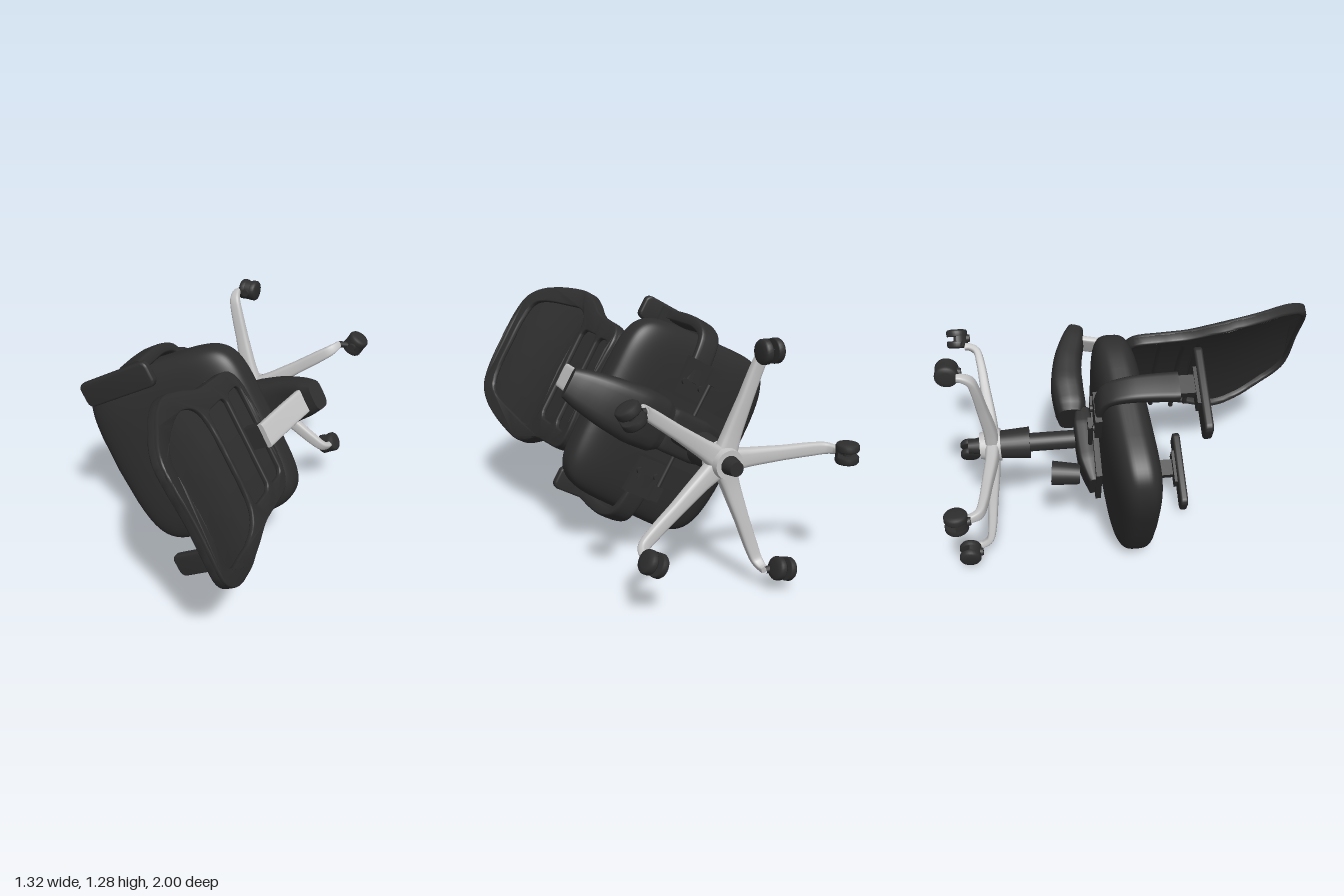
import * as THREE from 'three';
import { mergeVertices, toCreasedNormals } from 'three/addons/utils/BufferGeometryUtils.js';

const black = new THREE.MeshStandardMaterial({ color: 0x2e2e2e });
black.name = 'black plastic and fabric';
const blackSheet = black.clone();
blackSheet.side = THREE.DoubleSide;
const silver = new THREE.MeshStandardMaterial({ color: 0xc4c4c4 });
silver.name = 'silver metal';

function add(parent, name, geometry, material, x = 0, y = 0, z = 0) {
  const mesh = new THREE.Mesh(geometry, material);
  mesh.name = name;
  mesh.position.set(x, y, z);
  parent.add(mesh);
  return mesh;
}
const spow = (v, e) => Math.sign(v) * Math.abs(v) ** e;

function interp(table, t) {
  for (let i = 1; i < table.length; i++) {
    const [a, va] = table[i - 1], [b, vb] = table[i];
    if (t <= b) return va + (vb - va) * Math.max(0, (t - a) / (b - a));
  }
  return table[table.length - 1][1];
}

// Soft rectangular tube along a path in the XY plane; rows are [x, y, half width, half height]
function loft(rows, squareness = 0.45, steps = 24, m = 20) {
  const path = new THREE.CatmullRomCurve3(rows.map(r => new THREE.Vector3(r[0], r[1], 0)), false, 'centripetal');
  const pos = [], idx = [];
  const ring = (t) => {
    const p = path.getPoint(t), d = path.getTangent(t);
    const f = t * (rows.length - 1), i = Math.min(Math.floor(f), rows.length - 2), k = f - i;
    const hw = rows[i][2] + (rows[i + 1][2] - rows[i][2]) * k;
    const hh = rows[i][3] + (rows[i + 1][3] - rows[i][3]) * k;
    for (let j = 0; j < m; j++) {
      const a = j / m * Math.PI * 2, c = hh * spow(Math.cos(a), squareness);
      pos.push(p.x - d.y * c, p.y + d.x * c, hw * spow(Math.sin(a), squareness));
    }
    return p;
  };
  for (let i = 0; i <= steps; i++) ring(i / steps);
  for (let i = 0; i < steps; i++) for (let j = 0; j < m; j++) {
    const a = i * m + j, b = i * m + (j + 1) % m;
    idx.push(a, b, a + m, b, b + m, a + m);
  }
  for (const t of [0, 1]) {
    const start = pos.length / 3, p = ring(t), centre = pos.length / 3;
    pos.push(p.x, p.y, 0);
    for (let j = 0; j < m; j++) {
      const a = start + j, b = start + (j + 1) % m;
      idx.push(centre, t ? a : b, t ? b : a);
    }
  }
  const g = new THREE.BufferGeometry();
  g.setAttribute('position', new THREE.Float32BufferAttribute(pos, 3));
  g.setIndex(idx);
  g.computeVertexNormals();
  return g;
}

// Closed smooth outline from its right half, listed bottom to top
function outline(half) {
  const left = half.filter(p => p[0] > 0).reverse().map(([x, y]) => [-x, y]);
  const pts = [...half, ...left].map(([x, y]) => new THREE.Vector3(x, y, 0));
  return new THREE.CatmullRomCurve3(pts, true, 'centripetal').getPoints(90).slice(0, 90)
    .map(p => new THREE.Vector2(p.x, p.y));
}

// Rectangle of half width w with round corners
function roundBox(w, y0, y1, r) {
  const pts = [];
  [[w - r, y0 + r], [w - r, y1 - r], [r - w, y1 - r], [r - w, y0 + r]].forEach(([x, y], i) => {
    for (let k = 0; k <= 6; k++) {
      const a = (i - 1 + k / 6) * Math.PI / 2;
      pts.push(new THREE.Vector2(x + r * Math.cos(a), y + r * Math.sin(a)));
    }
  });
  return pts;
}

// Bevelled plate with holes, its thickness centred on z
function plate(points, holes, thickness, bevel, z = 0) {
  const shape = new THREE.Shape(points);
  for (const hole of holes) shape.holes.push(new THREE.Path(hole));
  return new THREE.ExtrudeGeometry(shape, { depth: thickness - 2 * bevel, bevelThickness: bevel, bevelSize: bevel, bevelOffset: -bevel, bevelSegments: 3 })
    .translate(0, 0, z - thickness / 2 + bevel);
}

// Backrest surface: leans back towards the top and wraps around the sitter
const lean = [[-0.03, -0.412], [0.15, -0.412], [0.3, -0.414], [0.5, -0.42], [0.6, -0.438], [0.7, -0.467], [0.85, -0.525], [1, -0.568]];
const backZ = (x, y) => interp(lean, y) + 0.032 * (x / 0.4) ** 2;
function bend(g) {
  const p = g.attributes.position;
  for (let i = 0; i < p.count; i++) p.setZ(i, p.getZ(i) + backZ(p.getX(i), p.getY(i)));
  g.computeVertexNormals();
  return g;
}

function makeSeat() {
  const g = new THREE.SphereGeometry(1, 80, 48);
  g.deleteAttribute('uv');
  g.deleteAttribute('normal');
  const seat = mergeVertices(g, 1e-4), p = seat.attributes.position;
  for (let i = 0; i < p.count; i++) {
    const y = p.getY(i), s = Math.sqrt(Math.max(0, 1 - y * y));
    const r = s ** 0.55, a = Math.atan2(p.getZ(i), p.getX(i));
    const along = r * spow(Math.sin(a), 0.35), across = r * spow(Math.cos(a), 0.35);
    // Front edge bows out in the middle
    const z = 0.04 + 0.475 * along + 0.055 * Math.max(0, along) * (1 - across * across);
    p.setXYZ(i, (0.515 + 0.07 * z) * across, -0.078 + 0.095 * z + 0.13 * spow(y, 0.6), z);
  }
  seat.computeVertexNormals();
  return seat;
}

function makeBackrest() {
  const back = new THREE.Group();
  back.name = 'backrest';
  const half = [[0, -0.03], [0.28, -0.03], [0.35, 0.02], [0.37, 0.15], [0.385, 0.3], [0.44, 0.44], [0.472, 0.56],
    [0.455, 0.7], [0.42, 0.81], [0.365, 0.92], [0.3, 0.98], [0.21, 1], [0, 1]];
  const edge = outline(half);
  const panelHole = outline([[0, 0.385], [0.27, 0.39], [0.33, 0.43], [0.365, 0.52], [0.355, 0.64], [0.31, 0.84], [0.26, 0.9], [0, 0.91]]);
  const holes = [panelHole, roundBox(0.27, 0.165, 0.345, 0.04), roundBox(0.265, 0.005, 0.135, 0.04)];
  add(back, 'rear frame', toCreasedNormals(bend(plate(edge, holes, 0.028, 0.008, -0.021)), 0.7), black);
  const inner = outline(half.map(([x, y]) => [x * 0.93, 0.485 + (y - 0.485) * 0.95]));
  add(back, 'front rim', toCreasedNormals(bend(plate(edge, [inner], 0.062, 0.012)), 0.7), black);

  // Upholstery sheet inside the rim
  const widths = half.slice(1, -1).map(([x, y]) => [y, x]);
  const panel = new THREE.PlaneGeometry(2, 0.97, 24, 40).translate(0, 0.485, 0);
  const p = panel.attributes.position;
  for (let i = 0; i < p.count; i++) p.setX(i, p.getX(i) * (interp(widths, p.getY(i)) - 0.02));
  add(back, 'back upholstery', bend(panel), blackSheet);
  for (const [y, bulge] of [[0.355, 0.04], [0.27, 0.05], [0.15, 0.03]]) {
    const pts = [-0.37, -0.25, -0.12, 0, 0.12, 0.25, 0.37].map(x => new THREE.Vector3(x, y, backZ(x, y) + bulge));
    add(back, 'lumbar rib', new THREE.TubeGeometry(new THREE.CatmullRomCurve3(pts), 32, 0.014, 10), black);
  }
  add(back, 'bar mount', new THREE.BoxGeometry(0.12, 0.05, 0.1), black, 0, 0.1, -0.465);
  const bar = add(back, 'support bar', loft([[-0.2, 0, 0.066, 0.018], [0, 0.004, 0.066, 0.018], [0.2, 0, 0.066, 0.018]], 0.35), silver, 0, -0.07, -0.555);
  bar.rotation.set(0.18, 0, Math.PI / 2);
  bar.rotateX(Math.PI / 2);

  // Curved arm that carries the backrest from under the seat
  const arm = add(back, 'backrest arm', loft([[-0.12, -0.34, 0.12, 0.07], [-0.17, -0.34, 0.145, 0.085], [-0.3, -0.35, 0.15, 0.09],
    [-0.46, -0.335, 0.13, 0.077], [-0.6, -0.295, 0.1, 0.063], [-0.665, -0.275, 0.078, 0.045]], 0.6), black);
  arm.rotation.y = -Math.PI / 2;
  return back;
}

function makeArmrest(side) {
  const arm = new THREE.Group();
  arm.name = side > 0 ? 'left armrest' : 'right armrest';
  const pad = plate(roundBox(0.068, -0.232, 0.232, 0.035), [], 0.044, 0.012).rotateX(Math.PI / 2);
  add(arm, 'arm pad', toCreasedNormals(pad, 0.7), black, side * 0.538, 0.297, 0.03);
  add(arm, 'pad plate', new THREE.BoxGeometry(0.09, 0.02, 0.2), black, side * 0.545, 0.268, 0.01);
  add(arm, 'sliding post', new THREE.BoxGeometry(0.045, 0.12, 0.1), black, side * 0.56, 0.21, 0);
  const bracket = add(arm, 'arm bracket', loft([[0.56, 0.18, 0.075, 0.035], [0.565, 0.05, 0.07, 0.035], [0.56, -0.07, 0.065, 0.03],
    [0.52, -0.165, 0.06, 0.025], [0.42, -0.205, 0.06, 0.02], [0.27, -0.215, 0.06, 0.02]]), black);
  if (side < 0) bracket.rotation.y = Math.PI;
  add(arm, 'mounting plate', new THREE.BoxGeometry(0.2, 0.035, 0.17), black, side * 0.29, -0.215, 0);
  for (const z of [-0.055, 0.055])
    add(arm, 'bolt', new THREE.CylinderGeometry(0.018, 0.018, 0.02, 16), black, side * 0.26, -0.238, z);
  return arm;
}

function makeMechanism() {
  const mech = new THREE.Group();
  mech.name = 'tilt mechanism';
  add(mech, 'seat plate', new THREE.BoxGeometry(0.34, 0.03, 0.46), black, 0, -0.225, 0.06);
  add(mech, 'housing', loft([[-0.14, -0.28, 0.1, 0.04], [-0.05, -0.28, 0.12, 0.055], [0.15, -0.27, 0.12, 0.05], [0.28, -0.25, 0.1, 0.025]], 0.4), black)
    .rotation.y = -Math.PI / 2;
  add(mech, 'tension knob', new THREE.CylinderGeometry(0.055, 0.066, 0.15, 28), black, 0.015, -0.392, 0.19).rotation.x = 0.12;
  for (const side of [-1, 1]) {
    const rod = add(mech, 'lever rod', new THREE.CylinderGeometry(0.012, 0.012, 0.28, 12), black, side * 0.22, -0.255, 0.08);
    rod.rotation.z = Math.PI / 2;
    add(mech, 'lever paddle', new THREE.BoxGeometry(0.08, 0.02, 0.06), black, side * 0.34, -0.26, 0.08);
  }
  return mech;
}

function makeCaster() {
  const caster = new THREE.Group();
  caster.name = 'caster';
  const profile = [[0, 0.012], [0.054, 0.012], [0.058, 0.018], [0.058, 0.04], [0.052, 0.049], [0.03, 0.053], [0, 0.053]];
  const wheel = new THREE.LatheGeometry(profile.map(([r, y]) => new THREE.Vector2(r, y)), 28);
  for (const side of [-1, 1])
    add(caster, 'wheel', wheel, black).rotation.z = -side * Math.PI / 2;
  // Fender fills the upper half of the gap between the wheels
  add(caster, 'fender', new THREE.CylinderGeometry(0.057, 0.057, 0.04, 20, 1, false, 0, Math.PI), blackSheet).rotation.z = Math.PI / 2;
  add(caster, 'axle', new THREE.CylinderGeometry(0.02, 0.02, 0.04, 16), black).rotation.z = Math.PI / 2;
  add(caster, 'swivel', new THREE.CylinderGeometry(0.02, 0.026, 0.03, 16), black, 0, 0.055, 0);
  return caster;
}

function makeBase() {
  const base = new THREE.Group();
  base.name = 'star base';
  add(base, 'gas lift', new THREE.CylinderGeometry(0.05, 0.05, 0.34, 32), black, 0, -0.43, 0);
  add(base, 'lift cover', new THREE.CylinderGeometry(0.085, 0.075, 0.155, 32), black, 0, -0.65, 0);
  add(base, 'hub', new THREE.CylinderGeometry(0.088, 0.072, 0.11, 32), silver, 0, -0.782, 0);
  add(base, 'lift foot', new THREE.CylinderGeometry(0.048, 0.036, 0.07, 24), black, 0, -0.865, 0);
  const leg = loft([[0.02, -0.77, 0.06, 0.038], [0.14, -0.775, 0.046, 0.033], [0.32, -0.796, 0.036, 0.027], [0.48, -0.815, 0.033, 0.023],
    [0.55, -0.833, 0.029, 0.02], [0.577, -0.87, 0.022, 0.018], [0.58, -0.895, 0.018, 0.018]], 0.6);
  // Each row: caster x and z, then the turn of its wheel axle in degrees
  const casters = [[-0.598, 0, 90], [-0.125, -0.553, 0], [0.555, -0.345, 60], [0.45, 0.36, 30], [-0.25, 0.54, 15]];
  casters.forEach(([x, z, turn], i) => {
    const a = Math.PI - i * Math.PI * 0.4;
    add(base, 'base leg', leg, silver).rotation.y = a;
    const c = makeCaster();
    c.position.set(x, -0.942, z);
    c.rotation.y = turn * Math.PI / 180;
    base.add(c);
    const tip = new THREE.Vector3(Math.cos(a) * 0.58, -0.9, -Math.sin(a) * 0.58);
    const link = new THREE.LineCurve3(tip, new THREE.Vector3(x, -0.91, z));
    add(base, 'caster stem', new THREE.TubeGeometry(link, 1, 0.018, 12), black);
  });
  return base;
}

export function createModel() {
  const model = new THREE.Group();
  model.name = 'office chair';
  const chair = new THREE.Group();
  chair.name = 'tipped chair';
  const upper = new THREE.Group();
  upper.name = 'swivelled upper part';
  add(upper, 'seat cushion', makeSeat(), black);
  upper.add(makeBackrest(), makeArmrest(1), makeArmrest(-1), makeMechanism());
  upper.rotation.y = -Math.PI / 3;
  chair.add(upper, makeBase());
  // The chair lies with its seat facing the front
  chair.rotation.x = Math.PI / 2;
  chair.position.y = 0.67;
  model.add(chair);
  return model;
}
